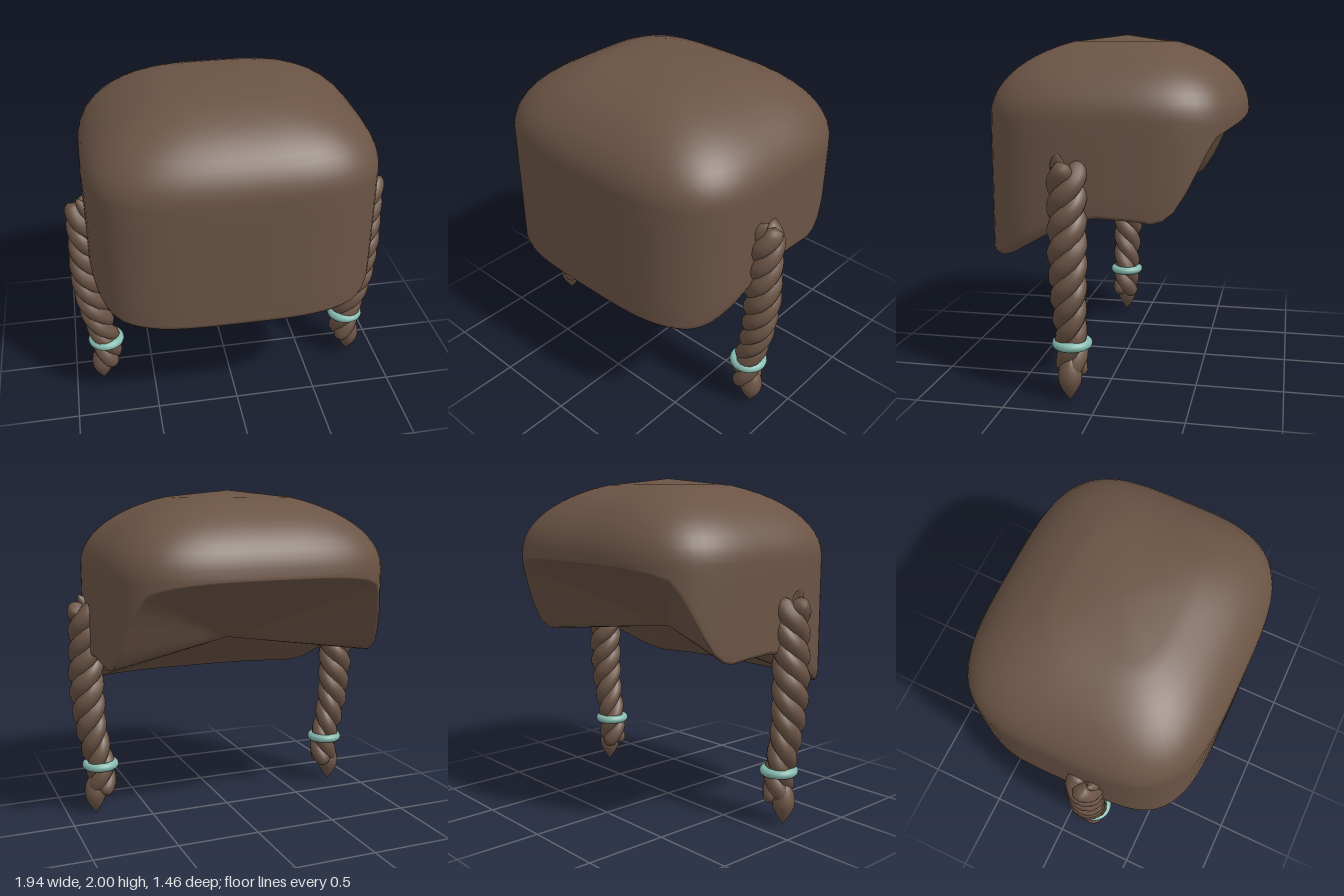
import * as THREE from 'three';
import { mergeVertices } from 'three/addons/utils/BufferGeometryUtils.js';

const A = 0.85, B = 0.73, POWER = 3.6, COLS = 96, EQUATOR = 1.55;

// Linear interpolation through [key, value] points with rising keys
function lerpPoints(points, k) {
  if (k <= points[0][0]) return points[0][1];
  for (let i = 1; i < points.length; i++) {
    const [k0, v0] = points[i - 1], [k1, v1] = points[i];
    if (k <= k1) return v0 + (v1 - v0) * (k - k0) / (k1 - k0);
  }
  return points[points.length - 1][1];
}

// Height of the lower edge, and of the rolled strip above it, along z
const RIM = [[-0.73, 1.525], [-0.67, 1.495], [-0.6, 1.45], [-0.5, 1.24], [-0.43, 1.1], [-0.37, 1.035], [-0.3, 1.01],
  [-0.2, 1.025], [0, 1.035], [0.12, 1.02], [0.25, 0.96], [0.4, 0.875], [0.52, 0.805], [0.6, 0.775], [0.7, 0.768]];
const ROLL = [[-0.73, 0.012], [-0.3, 0.02], [0.1, 0.025], [0.35, 0.06], [0.5, 0.06], [0.65, 0.03]];

// Rounded-rectangle outline by angle, t = 0 at the front
function outline(t) {
  const s = Math.sin(t), c = Math.cos(t);
  const r = (Math.abs(s / A) ** POWER + Math.abs(c / B) ** POWER) ** (-1 / POWER);
  return [r * s, r * c];
}

// Closed rings from top to bottom; each row maps an outline point to [scale, y]
function ringSurface(rows) {
  const pos = [], index = [];
  for (const row of rows) {
    for (let j = 0; j < COLS; j++) {
      const [x, z] = outline((j / COLS) * Math.PI * 2);
      const [s, y] = row(z);
      pos.push(x * s, y, z * s);
    }
  }
  for (let i = 0; i < rows.length - 1; i++) {
    for (let j = 0; j < COLS; j++) {
      const k = (j + 1) % COLS;
      const a = i * COLS + j, b = a + COLS, c = (i + 1) * COLS + k, d = i * COLS + k;
      index.push(a, b, c, a, c, d);
    }
  }
  const g = new THREE.BufferGeometry();
  g.setAttribute('position', new THREE.Float32BufferAttribute(pos, 3));
  g.setIndex(index);
  const welded = mergeVertices(g, 1e-5);
  welded.computeVertexNormals();
  return welded;
}

// Centre line of a braid on the given side
const BRAID_X = [[0.05, 0.8], [0.2, 0.785], [0.32, 0.79], [0.45, 0.82], [0.6, 0.848], [0.85, 0.862], [1.1, 0.853], [1.38, 0.85]];

class StrandCurve extends THREE.Curve {
  constructor(side, phase, top, bottom) {
    super();
    Object.assign(this, { side, phase, top, bottom });
  }
  getPoint(t, target = new THREE.Vector3()) {
    const y = this.top + (this.bottom - this.top) * t;
    const a = this.phase + (y - 1.36) * Math.PI * 2 / 0.38;
    const r = 0.042 + 0.01 * THREE.MathUtils.smoothstep(y, 0.3, 0.9);
    return target.set(this.side * (lerpPoints(BRAID_X, y) + Math.sin(a) * r), y, 0.163 + Math.cos(a) * r);
  }
}

// Tube whose radius closes at both ends
function strandGeometry(curve, pointed) {
  const SEG = 110, SIDES = 12;
  const g = new THREE.TubeGeometry(curve, SEG, 1, SIDES, false);
  const p = g.attributes.position, v = new THREE.Vector3();
  for (let i = 0; i <= SEG; i++) {
    const u = i / SEG, centre = curve.getPointAt(u);
    const start = Math.min(1, u / (pointed ? 0.07 : 0.03)), end = Math.min(1, (1 - u) / 0.03);
    const body = 0.05 + 0.008 * THREE.MathUtils.smoothstep(centre.y, 0.3, 0.9);
    const radius = body * (pointed ? start ** 0.8 : Math.sqrt(start * (2 - start))) * Math.sqrt(Math.max(0, end * (2 - end)));
    for (let j = 0; j <= SIDES; j++) {
      const k = i * (SIDES + 1) + j;
      v.fromBufferAttribute(p, k).sub(centre).multiplyScalar(radius).add(centre);
      p.setXYZ(k, v.x, v.y, v.z);
    }
  }
  g.deleteAttribute('uv');
  g.deleteAttribute('normal');
  const welded = mergeVertices(g, 1e-5);
  welded.computeVertexNormals();
  return welded;
}

export function createModel() {
  const model = new THREE.Group();
  const hair = new THREE.MeshStandardMaterial({ color: 0x6b5445 });
  hair.name = 'brownHair';
  const teal = new THREE.MeshStandardMaterial({ color: 0x86bbb0 });
  teal.name = 'tealBand';

  const add = (parent, name, geometry, material) => {
    const mesh = new THREE.Mesh(geometry, material);
    mesh.name = name;
    parent.add(mesh);
    return mesh;
  };

  // Hair cap: dome, straight walls, rolled lower strip
  const rows = [() => [0, 2]];
  for (let deg = 24; deg <= 90; deg += 6) {
    const a = THREE.MathUtils.degToRad(deg);
    rows.push(() => [Math.sin(a), EQUATOR + 0.45 * Math.cos(a)]);
  }
  const rimY = (z) => lerpPoints(RIM, z);
  const wallEnd = (z) => Math.min(EQUATOR - 0.005, rimY(z) + lerpPoints(ROLL, z));
  for (let i = 1; i <= 6; i++) rows.push((z) => [1, EQUATOR + (wallEnd(z) - EQUATOR) * i / 6]);
  const rim = (z) => [0.98, rimY(z)];
  rows.push((z) => [0.995, (wallEnd(z) + rimY(z)) / 2], rim);
  add(model, 'hairCap', ringSurface(rows), hair);

  // Underside: straight fan from the rim to a centre point
  const fan = [1, 0.66, 0.33, 0].map((s) => (z) => [0.98 * s, 1.1 + (rimY(z) - 1.1) * s]);
  add(model, 'hairUnderside', ringSurface(fan), hair);

  // Braids: three twisted strands, a band and a pointed tuft each
  for (const side of [1, -1]) {
    const braid = new THREE.Group();
    braid.name = side > 0 ? 'leftBraid' : 'rightBraid';
    for (let k = 0; k < 3; k++) {
      const pointed = k === 0;
      const curve = new StrandCurve(side, 0.4 + k * Math.PI * 2 / 3, pointed ? 1.385 : 1.33, 0.13);
      add(braid, 'braidStrand', strandGeometry(curve, pointed), hair);
    }
    const tuftProfile = [[0, 0.01], [0.018, 0.035], [0.045, 0.075], [0.063, 0.115], [0.068, 0.15], [0.06, 0.2], [0.035, 0.25], [0, 0.28]];
    const tuft = add(braid, 'braidTuft',
      new THREE.LatheGeometry(tuftProfile.map(([r, y]) => new THREE.Vector2(r, y - 0.01)), 20), hair);
    tuft.position.set(side * 0.827, 0, 0.165);
    const band = add(braid, 'braidBand', new THREE.TorusGeometry(0.086, 0.027, 12, 32), teal);
    band.rotation.x = Math.PI / 2;
    band.position.set(side * 0.79, 0.32, 0.16);
    model.add(braid);
  }
  return model;
}
